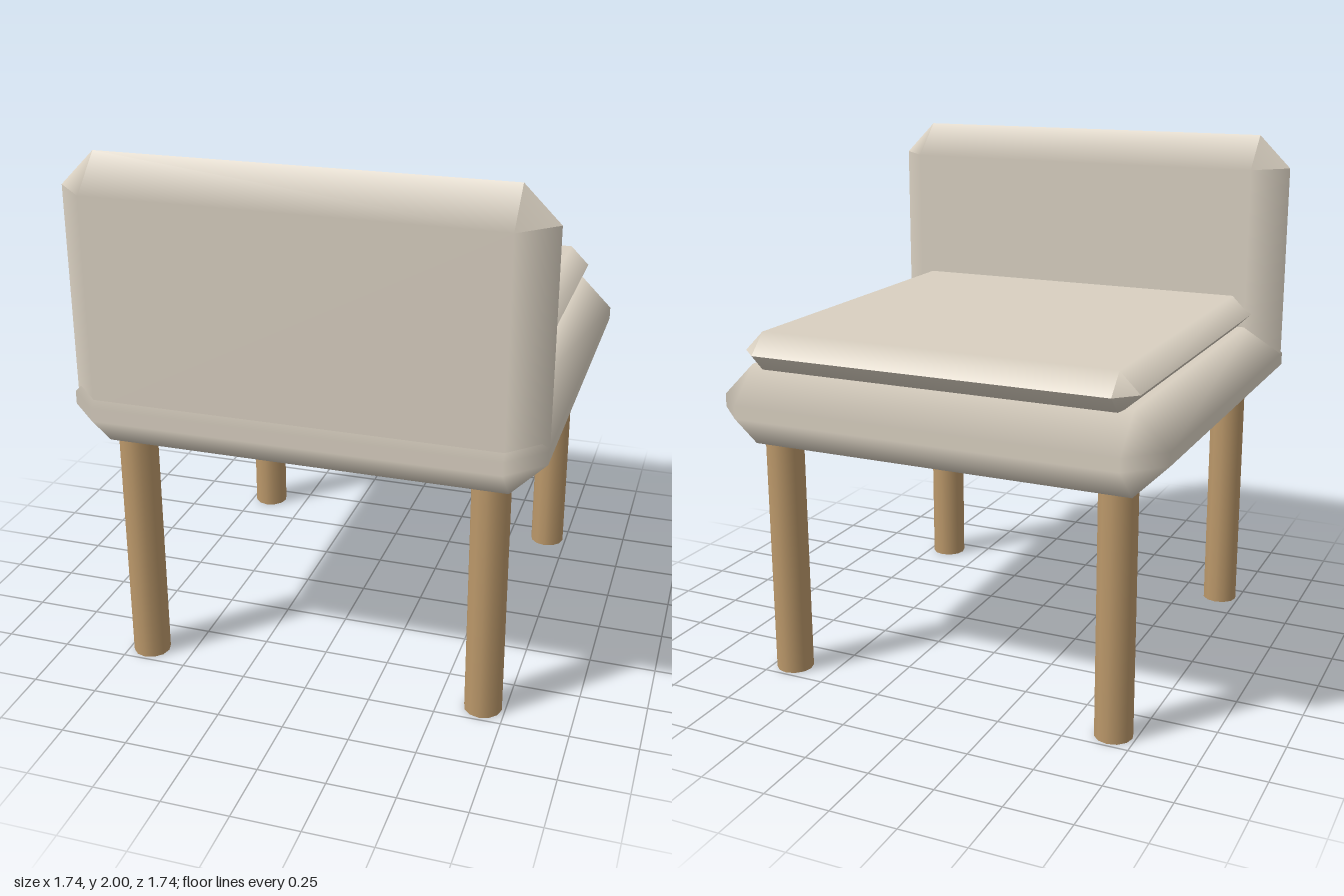
import * as THREE from 'three';

// Box with 45 degree chamfers, shaded softly from face to face;
// ridges where two chamfers meet directly stay sharp.
function chamferedBox(w, h, d, r) {
  const half = [w / 2, h / 2, d / 2];
  const inset = half.map((v) => v - r);
  const positions = [], normals = [];
  // corner point (signs s) that lies on the flat face of the given axis
  const corner = (s, axis) => ({
    p: new THREE.Vector3(...s.map((v, i) => v * (i === axis ? half[i] : inset[i]))),
    n: new THREE.Vector3(...s.map((v, i) => (i === axis ? v : 0))),
    sharp: inset.some((v, i) => i !== axis && v < 1e-4),
  });
  const tri = (a, b, c) => {
    const n = new THREE.Vector3().subVectors(b.p, a.p).cross(new THREE.Vector3().subVectors(c.p, a.p));
    if (n.length() < 1e-7) return;
    n.normalize();
    const flip = n.dot(a.p) < 0;
    if (flip) n.negate();
    for (const v of flip ? [a, c, b] : [a, b, c]) {
      positions.push(...v.p.toArray());
      normals.push(...(v.sharp ? n : v.n).toArray());
    }
  };
  const quad = (a, b, c, e) => { tri(a, b, c); tri(a, c, e); };
  const signs = (i, a, j, b, k, c) => { const s = []; s[i] = a; s[j] = b; s[k] = c; return s; };

  for (let i = 0; i < 3; i++) {
    const j = (i + 1) % 3, k = (i + 2) % 3;
    for (const a of [-1, 1]) {
      // flat face
      quad(...[[-1, -1], [1, -1], [1, 1], [-1, 1]].map(([b, c]) => corner(signs(i, a, j, b, k, c), i)));
      // chamfers between faces i and j
      for (const b of [-1, 1]) {
        const lo = signs(i, a, j, b, k, -1), hi = signs(i, a, j, b, k, 1);
        quad(corner(lo, i), corner(hi, i), corner(hi, j), corner(lo, j));
      }
    }
  }
  // corner triangles
  for (const x of [-1, 1]) for (const y of [-1, 1]) for (const z of [-1, 1]) {
    tri(...[0, 1, 2].map((axis) => corner([x, y, z], axis)));
  }
  const g = new THREE.BufferGeometry();
  g.setAttribute('position', new THREE.Float32BufferAttribute(positions, 3));
  g.setAttribute('normal', new THREE.Float32BufferAttribute(normals, 3));
  return g;
}

export function createModel() {
  const model = new THREE.Group();
  model.name = 'chair';
  const fabric = new THREE.MeshStandardMaterial({ color: 0xd9d0c1 });
  fabric.name = 'cream fabric';
  const wood = new THREE.MeshStandardMaterial({ color: 0xbb986a });
  wood.name = 'light wood';

  const add = (name, geometry, material, x, y, z) => {
    const mesh = new THREE.Mesh(geometry, material);
    mesh.name = name;
    mesh.position.set(x, y, z);
    model.add(mesh);
  };

  // upholstery
  add('seatBase', chamferedBox(1.74, 0.305, 1.74, 0.128), fabric, 0, 1.0805, 0);
  add('seatCushion', chamferedBox(1.53, 0.15, 1.53, 0.075), fabric, 0, 1.285, -0.055);
  add('backrest', chamferedBox(1.74, 1.03, 0.256, 0.128), fabric, 0, 1.485, 0.718);

  // four round legs
  const leg = new THREE.CylinderGeometry(0.071, 0.071, 0.96, 12);
  for (const x of [-1, 1]) for (const z of [-1, 1]) {
    add(`${z > 0 ? 'back' : 'front'}${x > 0 ? 'Left' : 'Right'}Leg`, leg, wood, x * 0.667, 0.48, z * 0.667);
  }
  return model;
}
